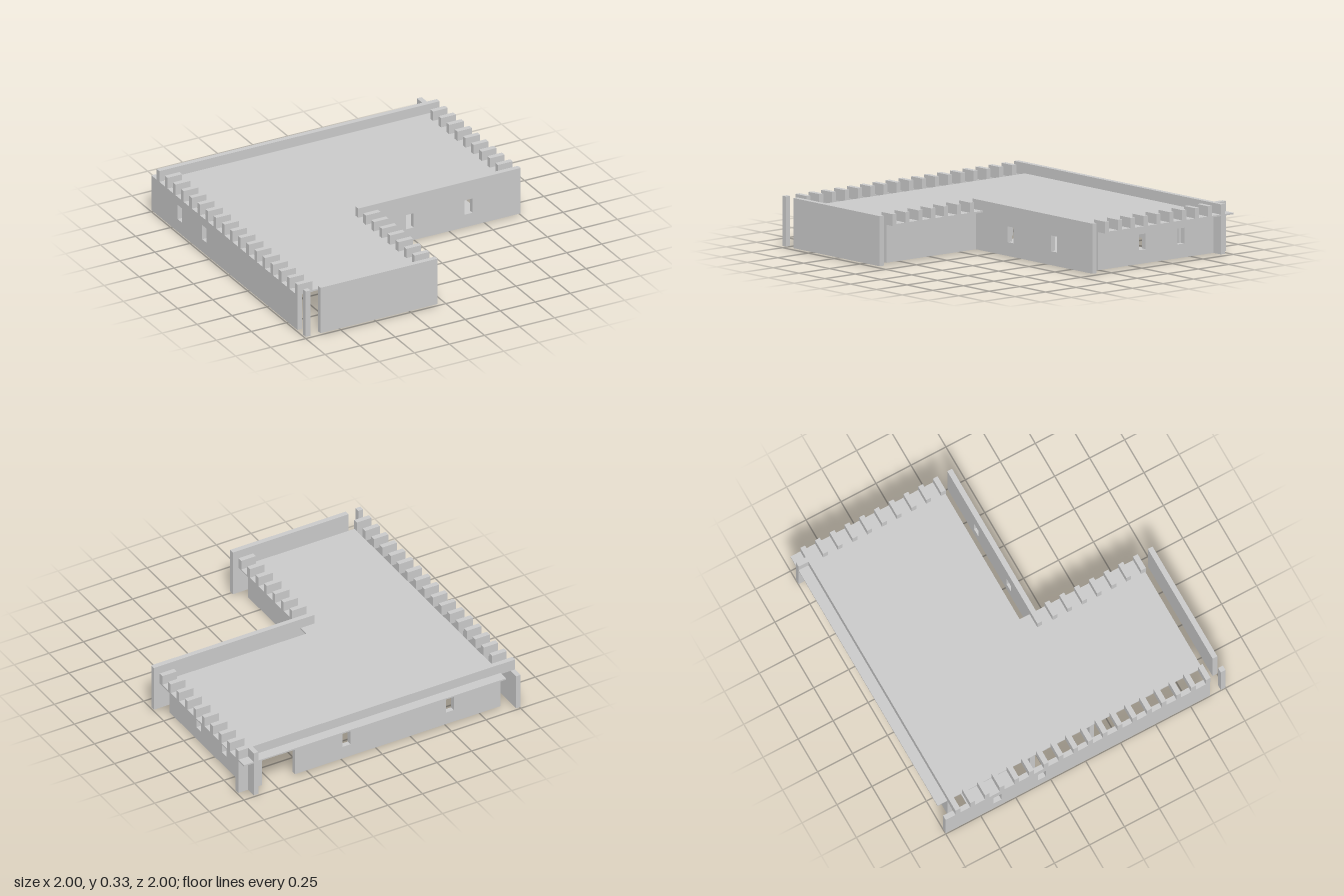
import * as THREE from 'three';

const BASE = 0.012, EAVE = 0.255, ROOF = 0.265, TOP = 0.33, THICK = 0.034;
const SILL = 0.1, HEAD = 0.2, WINDOW = 0.056;

export function createModel() {
  const model = new THREE.Group();
  const grey = new THREE.MeshStandardMaterial({ color: 0xcccccc, flatShading: true });

  function add(name, geometry) {
    const mesh = new THREE.Mesh(geometry, grey);
    mesh.name = name;
    model.add(mesh);
    return mesh;
  }

  // box given by its limits
  function block(name, x0, x1, y0, y1, z0, z1) {
    const g = new THREE.BoxGeometry(x1 - x0, y1 - y0, z1 - z0);
    g.translate((x0 + x1) / 2, (y0 + y1) / 2, (z0 + z1) / 2);
    return add(name, g);
  }

  function rectangle(target, a0, a1, b0, b1) {
    target.moveTo(a0, b0);
    target.lineTo(a1, b0);
    target.lineTo(a1, b1);
    target.lineTo(a0, b1);
    target.closePath();
    return target;
  }

  // upright panel from a0 to a1 with window openings centred on the given places
  function panel(a0, a1, top, windows) {
    const shape = rectangle(new THREE.Shape(), a0, a1, BASE, top);
    for (const c of windows) {
      shape.holes.push(rectangle(new THREE.Path(), c - WINDOW / 2, c + WINDOW / 2, SILL, HEAD));
    }
    return new THREE.ExtrudeGeometry(shape, { depth: THICK, bevelEnabled: false });
  }

  // wall running along x, its back face at z
  function wallX(name, x0, x1, z, top, windows = []) {
    add(name, panel(x0, x1, top, windows).translate(0, 0, z));
  }

  // wall running along z, its low-x face at x
  function wallZ(name, z0, z1, x, top, windows = []) {
    const g = panel(-z1, -z0, top, windows.map((c) => -c));
    add(name, g.rotateY(Math.PI / 2).translate(x, 0, 0));
  }

  // L-shaped roof slab
  const roof = new THREE.Shape();
  [[-0.895, 1], [1, 1], [1, -0.05], [-0.06, -0.05], [-0.06, -0.89], [-0.895, -0.89]]
    .forEach(([x, y], i) => (i ? roof.lineTo(x, y) : roof.moveTo(x, y)));
  const slab = new THREE.ExtrudeGeometry(roof, { depth: ROOF - EAVE, bevelEnabled: false });
  add('roof', slab.rotateX(-Math.PI / 2).translate(0, EAVE, 0));

  // front walls rise above the roof as parapets
  wallX('frontWall', -0.895, -0.06, 0.966, TOP);
  wallX('courtyardFrontWall', -0.16, 1, 0.121, TOP, [0.208, 0.628]);
  block('cornerPost', -1, -0.966, BASE, TOP, 0.966, 1);

  // back wall with a doorway, and its parapet
  wallX('backWall', -0.895, 0.59, -0.93, EAVE, [-0.53, 0.218]);
  wallX('backWallEnd', 0.83, 1, -0.93, EAVE);
  block('backParapet', -1, 1, EAVE, TOP, -0.93, -0.896);

  // side walls
  wallZ('leftmostWall', -1, 0.89, -1, EAVE, [-0.63, -0.313]);
  wallZ('sideWall', -1, 0.05, 0.895, EAVE, [-0.63, -0.313]);
  wallZ('wingWall', 0.155, 0.89, -0.16, EAVE);
  block('backCornerPost', 0.895, 0.929, EAVE, TOP, -1, -0.93);

  // beam ends along the roof edges
  function beams(name, x0, first, last) {
    for (let i = first; i <= last; i++) {
      const z = -0.913 + 0.1053 * i;
      block(name, x0, x0 + 0.105, EAVE, TOP, z - THICK / 2, z + THICK / 2);
    }
  }
  beams('outerBeam', -1, 1, 17);
  beams('sideBeam', 0.895, 1, 9);
  beams('wingBeam', -0.165, 11, 17);

  // inner partitions
  wallX('innerPartition', -0.895, -0.53, 0.085, EAVE);
  wallX('windowPartition', -0.895, -0.35, -0.339, EAVE, [-0.73, -0.51]);

  // floor plates
  block('mainFloor', -0.26, 0.79, 0, BASE, -0.68, 0.055);
  block('smallFloor', -0.895, -0.79, 0, BASE, -0.79, -0.42);

  return model;
}
